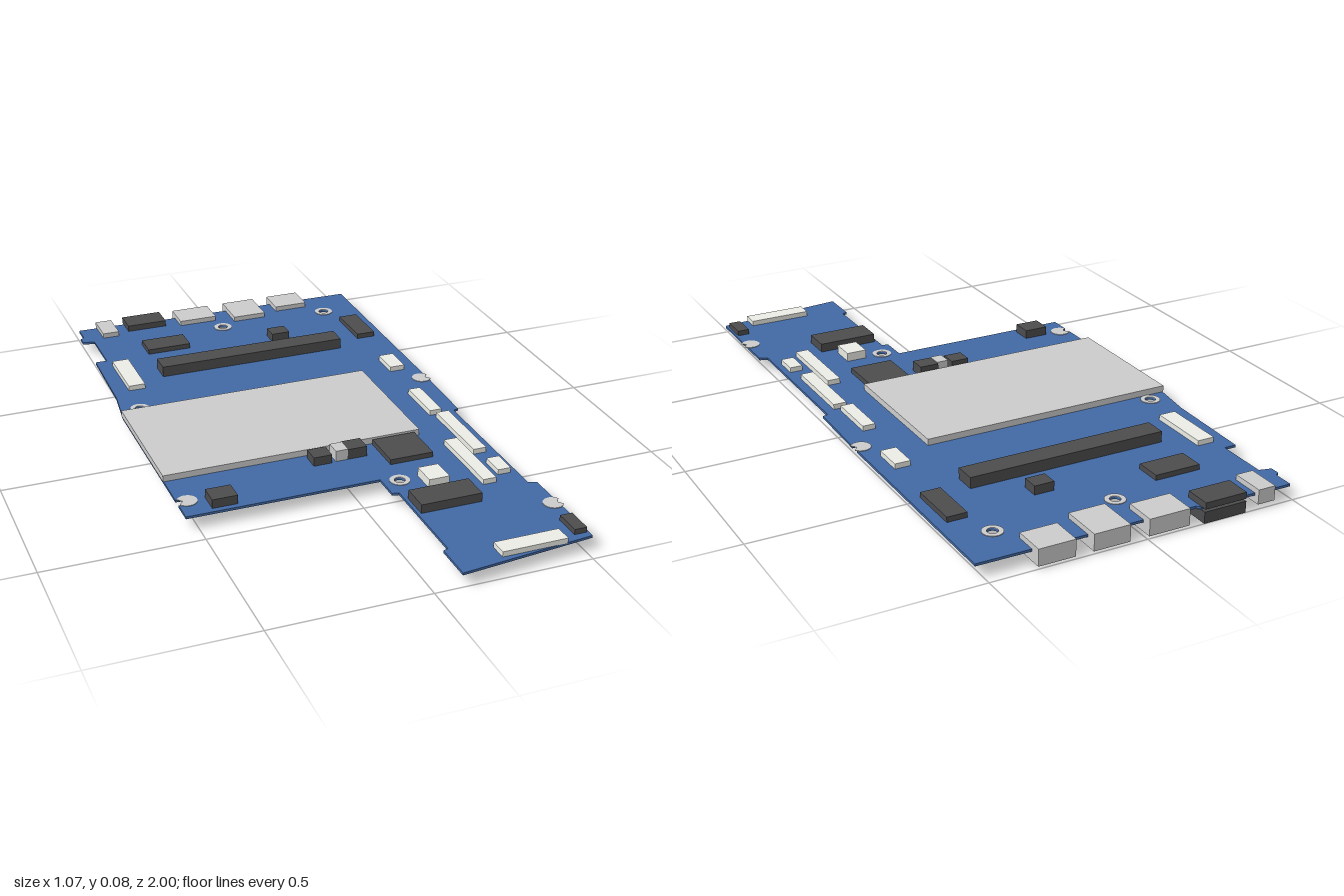
import * as THREE from 'three';

const grey = new THREE.MeshStandardMaterial({ color: 0xcccccc });
const blue = new THREE.MeshStandardMaterial({ color: 0x4269a4 });
const dark = new THREE.MeshStandardMaterial({ color: 0x4c4c4e });
const pale = new THREE.MeshStandardMaterial({ color: 0xecece6 });

const BOTTOM = 0.037, TOP = 0.045; // board faces
const HOLE = 0.017, RING = 0.032;

// Round screw holes [x, z] and edge slots [x, z, side, edge x]
const holes = [[0, -0.828], [0.397, -0.828], [-0.468, -0.298], [0.137, 0.455]];
const slots = [[0.5, -0.177, 1, 0.521], [0.507, 0.745, 1, 0.524], [-0.507, 0.342, -1, -0.538]];

// Horizontal plate from [x, z] points, extruded upwards
const toShape = (pts) => new THREE.Shape(pts.map(([x, z]) => new THREE.Vector2(x, -z)));
function plate(name, shape, y, height, material) {
  const geo = new THREE.ExtrudeGeometry(shape, { depth: height, bevelEnabled: false, curveSegments: 12 });
  geo.rotateX(-Math.PI / 2).translate(0, y, 0);
  const mesh = new THREE.Mesh(geo, material);
  mesh.name = name;
  return mesh;
}

// Box from its extents
function block(name, x0, x1, z0, z1, y0, y1, material) {
  const mesh = new THREE.Mesh(new THREE.BoxGeometry(x1 - x0, y1 - y0, z1 - z0), material);
  mesh.position.set((x0 + x1) / 2, (y0 + y1) / 2, (z0 + z1) / 2);
  mesh.name = name;
  return mesh;
}

// Round-ended slot running in from a side edge
function slotPoints([cx, cz, side, edge]) {
  const pts = [[edge, cz - side * HOLE]];
  for (let i = 0; i <= 10; i++) {
    const t = -Math.PI / 2 + (Math.PI * i) / 10;
    pts.push([cx - side * HOLE * Math.cos(t), cz + side * HOLE * Math.sin(t)]);
  }
  pts.push([edge, cz + side * HOLE]);
  return pts;
}

function circle(path, x, z, r) {
  path.absarc(x, -z, r, 0, Math.PI * 2, false);
  return path;
}

// Ring around a slot, open towards the edge
function slotRing([cx, cz, side]) {
  const a = Math.asin(HOLE / RING), pts = [];
  for (let i = 0; i <= 20; i++) {
    const t = a + ((Math.PI * 2 - 2 * a) * i) / 20;
    pts.push([cx + side * RING * Math.cos(t), cz + side * RING * Math.sin(t)]);
  }
  for (let i = 0; i <= 10; i++) {
    const t = -Math.PI / 2 + (Math.PI * i) / 10;
    pts.push([cx - side * HOLE * Math.cos(t), cz - side * HOLE * Math.sin(-t) * -1]);
  }
  return pts;
}

export function createModel() {
  const model = new THREE.Group();
  model.name = 'circuitBoard';

  // Board outline, clockwise from the back right corner
  const outline = toShape([
    [-0.5, -0.985], [-0.19, -0.98], [-0.18, -0.97], [0.523, -0.963], [0.521, -0.3],
    ...slotPoints(slots[0]),
    [0.515, 0.08], [0.497, 0.085], [0.497, 0.605], [0.523, 0.615],
    ...slotPoints(slots[1]),
    [0.523, 0.95], [0.087, 0.997], [0.087, 0.87], [0.104, 0.865], [0.104, 0.525],
    [0.083, 0.52], [0.083, 0.43], [-0.538, 0.43],
    ...slotPoints(slots[2]),
    [-0.538, -0.26], [-0.52, -0.4], [-0.513, -0.7], [-0.473, -0.7], [-0.473, -0.87],
    [-0.513, -0.88], [-0.513, -0.91], [-0.5, -0.92],
  ]);
  for (const [x, z] of holes) outline.holes.push(circle(new THREE.Path(), x, z, HOLE));
  model.add(plate('board', outline, BOTTOM, TOP - BOTTOM, blue));

  // Contact rings around the screw holes and slots
  for (const [x, z] of holes) {
    const ring = circle(new THREE.Shape(), x, z, RING);
    ring.holes.push(circle(new THREE.Path(), x, z, HOLE));
    model.add(plate('screwRing', ring, TOP, 0.002, grey));
  }
  for (const s of slots) model.add(plate('slotRing', toShape(slotRing(s)), TOP, 0.002, grey));

  // Parts on the top face: name, x0, x1, z0, z1, top, material
  const parts = [
    ['shieldPlate', -0.54, 0.316, -0.265, 0.205, 0.066, grey],
    ['memorySocket', -0.325, 0.334, -0.577, -0.504, 0.081, dark],
    ['backChip', -0.32, -0.167, -0.785, -0.698, 0.062, dark],
    ['smallChip', 0.125, 0.19, -0.698, -0.642, 0.074, dark],
    ['sideChip', 0.421, 0.486, -0.726, -0.557, 0.062, dark],
    ['squareChip', 0.151, 0.296, 0.21, 0.354, 0.062, dark],
    ['wideChip', 0.115, 0.314, 0.565, 0.66, 0.074, dark],
    ['cornerChip', -0.45, -0.369, 0.342, 0.411, 0.074, dark],
    ['coil', -0.075, -0.014, 0.22, 0.278, 0.074, dark],
    ['coil', 0.04, 0.105, 0.215, 0.274, 0.079, dark],
    ['capacitor', 0, 0.04, 0.222, 0.274, 0.081, grey],
    ['frontSwitch', 0.476, 0.516, 0.84, 0.928, 0.062, dark],
    ['ribbonConnector', -0.465, -0.408, -0.652, -0.44, 0.062, pale],
    ['ribbonConnector', 0.421, 0.473, -0.362, -0.26, 0.062, pale],
    ['ribbonConnector', 0.407, 0.449, -0.08, 0.092, 0.062, pale],
    ['ribbonConnector', 0.421, 0.465, 0.11, 0.385, 0.062, pale],
    ['ribbonConnector', 0.363, 0.407, 0.293, 0.57, 0.062, pale],
    ['ribbonConnector', 0.433, 0.476, 0.45, 0.531, 0.062, pale],
    ['ribbonConnector', 0.227, 0.436, 0.905, 0.962, 0.062, pale],
    ['plugSocket', 0.2, 0.268, 0.448, 0.531, 0.074, pale],
  ];
  for (const [name, x0, x1, z0, z1, y, mat] of parts) {
    model.add(block(name, x0, x1, z0, z1, TOP, y, mat));
  }

  // Ports along the back edge, reaching below the board
  model.add(block('audioPort', -0.434, -0.376, -1, -0.89, 0.015, 0.062, grey));
  model.add(block('port', -0.14, -0.005, -1, -0.896, 0.008, 0.062, grey));
  model.add(block('port', 0.057, 0.175, -1, -0.862, 0.008, 0.062, grey));
  model.add(block('port', 0.232, 0.35, -1, -0.896, 0.008, 0.062, grey));
  model.add(block('darkPortTop', -0.333, -0.192, -1, -0.915, TOP, 0.066, dark));
  model.add(block('darkPortBase', -0.333, -0.19, -1, -0.915, 0, BOTTOM, dark));

  return model;
}
